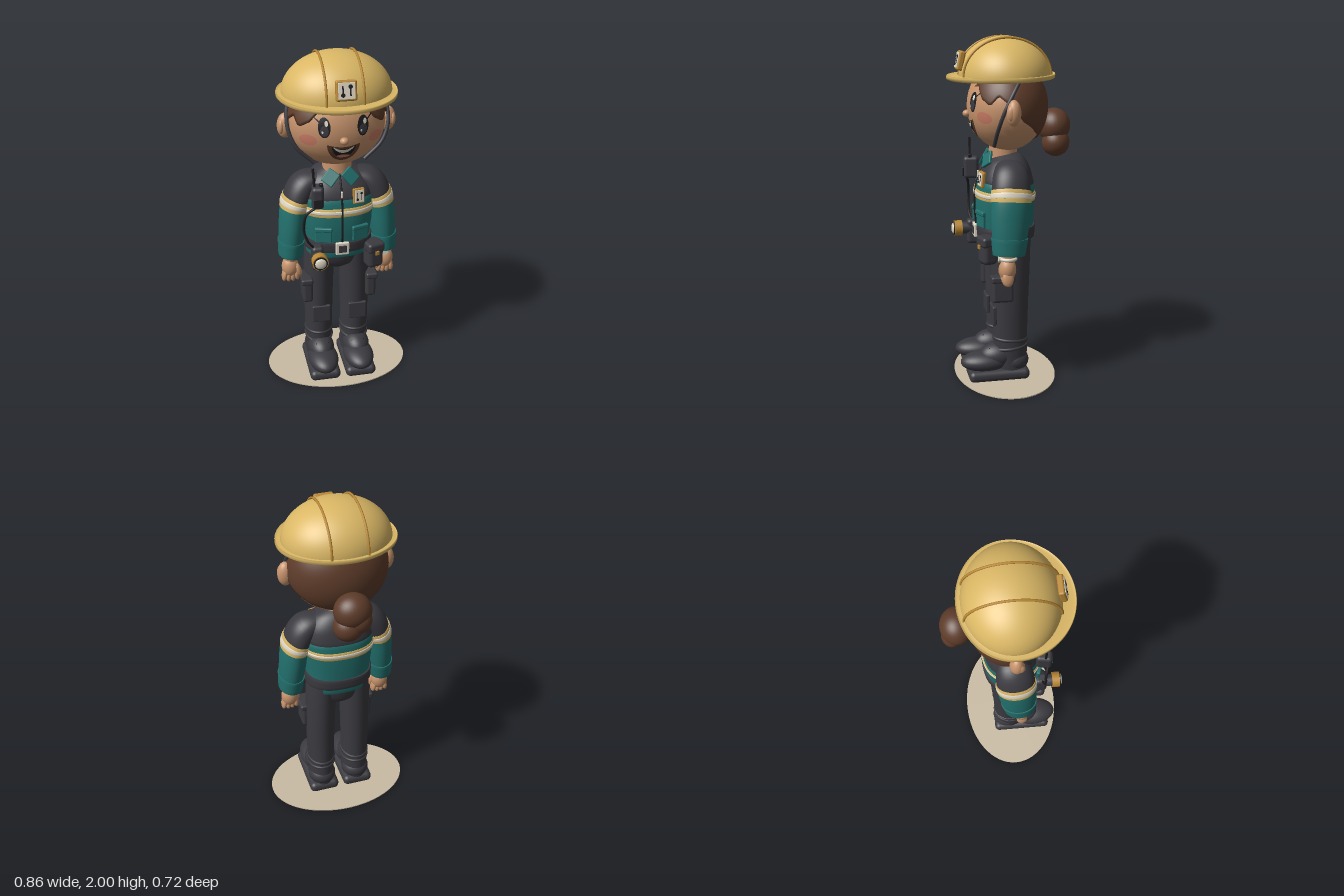
import * as THREE from 'three';
import { RoundedBoxGeometry } from 'three/addons/geometries/RoundedBoxGeometry.js';

const paint = (name, color) => {
  const m = new THREE.MeshStandardMaterial({ color });
  m.name = name;
  return m;
};

// Surface from a grid of points; closed rows wrap around
function grid(rows, cols, point, wrap = true) {
  const pos = [], idx = [], n = wrap ? cols : cols + 1;
  for (let i = 0; i <= rows; i++) for (let j = 0; j < n; j++) pos.push(...point(i / rows, j / cols, i));
  for (let i = 0; i < rows; i++) for (let j = 0; j < cols; j++) {
    const a = i * n + j, b = i * n + (j + 1) % n, c = a + n, d = b + n;
    idx.push(a, c, b, b, c, d);
  }
  const g = new THREE.BufferGeometry();
  g.setAttribute('position', new THREE.Float32BufferAttribute(pos, 3));
  g.setIndex(idx);
  g.computeVertexNormals();
  return g;
}

// Elliptical loft through rows [x, y, z, sideRadius, depthRadius], cut between two heights
function loft(rows, yTop, yBot, grow = 0, square = 1) {
  const mid = new THREE.CatmullRomCurve3(rows.map(r => new THREE.Vector3(r[0], r[1], r[2])));
  const rad = new THREE.CatmullRomCurve3(rows.map(r => new THREE.Vector3(r[3], r[4], 0)), false, 'catmullrom', 0.5);
  const at = y => {
    let lo = 0, hi = 1;
    for (let k = 0; k < 24; k++) { const m = (lo + hi) / 2; if (mid.getPoint(m).y > y) lo = m; else hi = m; }
    return lo;
  };
  const t0 = at(yTop), t1 = at(yBot), n = Math.max(3, Math.ceil((t1 - t0) * 24)), Z = new THREE.Vector3(0, 0, 1);
  const bend = v => Math.sign(v) * Math.abs(v) ** square;
  // first and last rows close the ends
  return grid(n + 4, 40, (u, v, i) => {
    const k = Math.min(Math.max(i - 2, 0), n), t = t0 + (t1 - t0) * k / n;
    const p = mid.getPoint(t), T = mid.getTangent(t), r = rad.getPoint(t), a = v * Math.PI * 2;
    const end = i === 0 || i === n + 4 ? 0.001 : i === 1 || i === n + 3 ? 0.97 : 1;
    const S = new THREE.Vector3().crossVectors(T, Z).normalize(), F = new THREE.Vector3().crossVectors(S, T);
    p.addScaledVector(S, bend(Math.cos(a)) * (r.x + grow) * end).addScaledVector(F, bend(Math.sin(a)) * (r.y + grow) * end);
    return [p.x, p.y, p.z];
  });
}

export function createModel() {
  const yellow = paint('helmet yellow', 0xdab765), gold = paint('dark gold', 0xb88735), skin = paint('skin', 0xc8946d);
  const brown = paint('hair brown', 0x5e3c2a), charcoal = paint('charcoal', 0x3b3a40), teal = paint('teal', 0x22706d);
  const cream = paint('cream', 0xe0d8c6), pink = paint('pink', 0xcc7d66), black = paint('black', 0x1d1c20), sand = paint('sand', 0xcabca4);
  const model = new THREE.Group();
  const add = (name, geo, mat, p = [0, 0, 0], r = [0, 0, 0]) => {
    const m = new THREE.Mesh(geo, mat);
    m.name = name; m.position.set(...p); m.rotation.set(...r);
    model.add(m);
    return m;
  };
  const ball = (name, mat, p, s, r) => add(name, new THREE.SphereGeometry(1, 32, 20), mat, p, r).scale.set(...s);
  const box = (name, mat, s, p, r) => add(name, new RoundedBoxGeometry(...s, 3, Math.min(...s) * 0.3), mat, p, r);
  const tube = (name, mat, pts, rad) => add(name, new THREE.TubeGeometry(
    new THREE.CatmullRomCurve3(pts.map(p => new THREE.Vector3(...p))), 40, rad, 8), mat);
  const disc = (name, mat, r, d, p) => add(name, new THREE.CylinderGeometry(r, r, d, 28), mat, p, [Math.PI / 2, 0, 0]);

  add('groundDisc', new THREE.CylinderGeometry(1, 1, 0.006, 64), sand, [0, 0.003, 0.03]).scale.set(0.43, 1, 0.3);

  // Head
  const H = { y: 1.61, z: 0.015, rx: 0.275, ry: 0.255, rz: 0.225 };
  ball('head', skin, [0, H.y, H.z], [H.rx, H.ry, H.rz]);
  const faceZ = (x, y) => H.z + H.rz * Math.sqrt(Math.max(0, 1 - (x / H.rx) ** 2 - ((y - H.y) / H.ry) ** 2));
  add('neck', new THREE.CylinderGeometry(0.08, 0.085, 0.16, 32), skin, [0, 1.34, 0.035]);
  ball('nose', skin, [0, 1.57, 0.243], [0.024, 0.021, 0.024]);

  // Thin face details that follow the head surface
  const patch = (name, mat, cx, w, top, bot, off) => {
    const g = new THREE.PlaneGeometry(2, 2, 16, 8), P = g.attributes.position;
    for (let i = 0; i < P.count; i++) {
      const u = Math.sin(P.getX(i) * Math.PI / 2), x = cx + w * u, y = THREE.MathUtils.lerp(bot(u), top(u), (P.getY(i) + 1) / 2);
      P.setXYZ(i, x, y, faceZ(x, y) + off);
    }
    g.computeVertexNormals();
    add(name, g, mat);
  };
  const arc = u => Math.sqrt(Math.max(0, 1 - u * u));
  const oval = (name, mat, x, y, w, h, off) => patch(name, mat, x, w, u => y + h * arc(u), u => y - h * arc(u), off);
  for (const s of [1, -1]) {
    oval('eye', black, s * 0.105, 1.645, 0.032, 0.056, 0.004);
    oval('iris', charcoal, s * 0.105, 1.628, 0.022, 0.03, 0.006);
    oval('eyeHighlight', cream, s * 0.105 + 0.01, 1.67, 0.01, 0.015, 0.008);
    oval('eyeGlint', cream, s * 0.105 - 0.011, 1.622, 0.005, 0.007, 0.008);
    oval('cheek', pink, s * 0.185, 1.565, 0.043, 0.033, 0.004);
    patch('eyebrow', brown, s * 0.112, 0.036, u => 1.728 + 0.016 * arc(u), u => 1.726 + 0.004 * arc(u), 0.005);
    patch('eyelash', black, s * 0.14, 0.014, u => 1.685 + s * u * 0.012 + 0.004, u => 1.68 + s * u * 0.012, 0.005);
    ball('ear', skin, [s * 0.288, 1.6, 0.03], [0.045, 0.072, 0.04]);
    ball('innerEar', skin, [s * 0.312, 1.6, 0.045], [0.018, 0.042, 0.026]);
  }
  const lip = u => 1.522 + 0.022 * u * u;
  patch('mouthOutline', brown, 0, 0.09, u => lip(u) + 0.009 * arc(u), u => lip(u) - 0.088 * arc(u), 0.003);
  patch('mouth', black, 0, 0.066, u => lip(u) - 0.006, u => lip(u) - 0.006 - 0.058 * arc(u), 0.005);
  patch('teeth', cream, 0, 0.058, u => lip(u) - 0.008, u => lip(u) - 0.008 - 0.02 * arc(u), 0.007);
  patch('tongue', pink, 0, 0.036, u => 1.472 + 0.01 * arc(u), u => 1.472 - 0.012 * arc(u), 0.007);

  // Hair cap: lower edge given as [angle from the front, height]
  const edge = [[0, 1.755], [0.5, 1.745], [0.72, 1.67], [0.95, 1.635], [1.15, 1.69], [1.5, 1.63], [1.75, 1.55], [2.3, 1.47], [3.15, 1.41]];
  const hairEdge = a => {
    const k = Math.max(1, edge.findIndex(e => e[0] >= a)), [a0, y0] = edge[k - 1], [a1, y1] = edge[k];
    return THREE.MathUtils.lerp(y0, y1, (a - a0) / (a1 - a0));
  };
  add('hair', grid(21, 96, (u, v, i) => {
    const a = v * Math.PI * 2, far = Math.min(a, Math.PI * 2 - a), k = i === 21 ? 0.97 : 1.045;
    const th = Math.acos((hairEdge(far) - H.y) / (H.ry * 1.045)) * Math.min(i / 20, 1);
    return [Math.sin(th) * Math.sin(a) * H.rx * k, H.y + Math.cos(th) * H.ry * k, H.z + Math.sin(th) * Math.cos(a) * H.rz * k];
  }), brown);
  ball('hairBun', brown, [0, 1.49, -0.265], [0.106, 0.1, 0.094]);
  ball('hairBunLower', brown, [0.025, 1.395, -0.27], [0.085, 0.082, 0.08]);
  ball('hairBunCoil', brown, [-0.03, 1.44, -0.295], [0.068, 0.075, 0.06]);

  // Helmet
  const dome = new THREE.SphereGeometry(1, 56, 20, 0, Math.PI * 2, 0, Math.PI / 2);
  add('helmetDome', dome, yellow, [0, 1.775, 0.026]).scale.set(0.305, 0.225, 0.26);
  const section = [[0, 1.79], [0.8, 1.778], [0.95, 1.79], [1, 1.783], [0.98, 1.768], [0.8, 1.762], [0, 1.77], [0, 1.79]];
  add('helmetBrim', grid(7, 80, (u, v, i) => {
    const a = v * Math.PI * 2, [k, y] = section[i], c = Math.cos(a);
    return [Math.sin(a) * (0.285 + 0.048 * k), y - 0.006 * c, 0.026 + c * (0.24 + (c > 0 ? 0.09 : 0.044) * k)];
  }), yellow);
  for (const s of [1, -1]) {
    const pts = [];
    for (let i = 0; i <= 16; i++) {
      const a = Math.PI * i / 16;
      pts.push([s * 0.1, 1.78 + 0.214 * Math.sin(a), 0.026 + 0.248 * Math.cos(a)]);
    }
    tube('helmetRib', gold, pts, 0.007);
    tube('chinStrap', charcoal, [[1.775, -0.02], [1.7, 0.03], [1.6, 0.08], [1.5, 0.108], [1.4, 0.112]].map(([y, z]) =>
      [s * (0.008 + H.rx * 1.03 * Math.sqrt(1 - ((y - H.y) / 0.27) ** 2 - ((z - H.z) / 0.235) ** 2)), y, z]), 0.011);
  }

  // Framed plate with two simple tool marks
  const plate = (name, w, h, d, p, tilt) => {
    const g = new THREE.Group(), first = model.children.length;
    box(name + 'Frame', gold, [w, h, d], [0, 0, 0]);
    box(name + 'Face', cream, [w * 0.8, h * 0.8, 0.008], [0, 0, d / 2]);
    for (const s of [1, -1]) {
      box(name + 'Mark', black, [w * 0.07, h * 0.5, 0.004], [s * w * 0.18, 0, d / 2 + 0.004]);
      disc(name + 'MarkHead', black, w * 0.1, 0.004, [s * w * 0.18, s * h * 0.2, d / 2 + 0.004]);
    }
    g.add(...model.children.slice(first));
    g.name = name; g.position.set(...p); g.rotation.set(...tilt);
    model.add(g);
  };
  plate('helmetBadge', 0.112, 0.108, 0.034, [0, 1.866, 0.278], [-0.22, 0, 0]);
  plate('chestBadge', 0.068, 0.09, 0.02, [0.097, 1.205, 0.176], [-0.12, 0.2, 0]);

  // Jacket
  const torso = [[0, 1.345, 0.03, 0.07, 0.06], [0, 1.31, 0.025, 0.14, 0.105], [0, 1.25, 0.022, 0.19, 0.14], [0, 1.16, 0.026, 0.21, 0.165],
    [0, 1.04, 0.03, 0.203, 0.17], [0, 0.92, 0.028, 0.19, 0.162], [0, 0.81, 0.027, 0.188, 0.152]];
  const wrap = (name, mat, a, b, grow) => add(name, loft(torso, a, b, grow, 0.82), mat);
  wrap('jacketYoke', charcoal, 1.345, 1.18, 0);
  wrap('jacketBody', teal, 1.18, 0.82, 0);
  wrap('chestStripe', yellow, 1.132, 1.084, 0.004);
  wrap('chestStripeCentre', cream, 1.118, 1.098, 0.007);
  wrap('belt', charcoal, 0.925, 0.86, 0.012);
  tube('zip', black, [[0, 1.32, 0.115], [0, 1.25, 0.164], [0, 1.16, 0.194], [0, 1.04, 0.204], [0, 0.92, 0.194]], 0.006);
  box('zipPull', cream, [0.012, 0.04, 0.012], [0, 1.22, 0.182]);
  box('buckle', cream, [0.078, 0.078, 0.02], [0, 0.89, 0.202]);
  box('buckleCentre', charcoal, [0.046, 0.044, 0.008], [0, 0.89, 0.212]);

  // Trousers hips
  add('hips', loft([[0, 0.9, 0.022, 0.18, 0.14], [0, 0.81, 0.02, 0.18, 0.135], [0, 0.74, 0.018, 0.13, 0.115], [0, 0.7, 0.018, 0.05, 0.07]], 0.9, 0.7), charcoal);

  for (const s of [1, -1]) {
    const at = (x, y, z) => [s * x, y, z];
    // Arms
    const arm = [[0.1, 1.285, 0.025, 0.04, 0.07], [0.19, 1.235, 0.027, 0.078, 0.102], [0.243, 1.13, 0.035, 0.08, 0.11],
      [0.265, 0.98, 0.045, 0.077, 0.107], [0.28, 0.8, 0.056, 0.064, 0.085]].map(([x, ...r]) => [s * x, ...r]);
    add('upperSleeve', loft(arm, 1.285, 1.155), charcoal);
    add('sleeve', loft(arm, 1.155, 0.81), teal);
    add('sleeveStripe', loft(arm, 1.16, 1.1, 0.004), yellow);
    add('sleeveStripeCentre', loft(arm, 1.142, 1.118, 0.007), cream);
    add('cuff', loft(arm, 0.9, 0.805, 0.007), teal);
    // Hands
    ball('wrist', skin, at(0.28, 0.79, 0.06), [0.042, 0.06, 0.04]);
    ball('palm', skin, at(0.285, 0.725, 0.064), [0.05, 0.066, 0.048]);
    ball('thumb', skin, at(0.24, 0.71, 0.088), [0.018, 0.045, 0.02], [0, 0, s * -0.25]);
    for (let i = 0; i < 4; i++) ball('finger', skin, at(0.25 + i * 0.023, 0.668 + Math.abs(i - 1.5) * 0.006, 0.068), [0.017, 0.046, 0.032], [0, 0, s * (i - 1.5) * 0.1]);
    // Collar and chest pockets
    box('collar', teal, [0.075, 0.085, 0.018], at(0.056, 1.312, 0.137), [-0.5, s * 0.25, s * 0.72]);
    box('chestPocket', teal, [0.095, 0.09, 0.018], at(0.106, 0.975, 0.184), [0, s * 0.28, 0]);
    box('chestPocketFlap', teal, [0.1, 0.026, 0.024], at(0.106, 1.012, 0.187), [0, s * 0.28, 0]);
    // Legs
    const leg = [[0.1, 0.87, 0.018, 0.088, 0.125], [0.106, 0.7, 0.015, 0.089, 0.116], [0.11, 0.45, 0.015, 0.085, 0.106],
      [0.11, 0.25, 0.015, 0.082, 0.101], [0.11, 0.05, 0.01, 0.078, 0.095]].map(([x, ...r]) => [s * x, ...r]);
    add('trouserLeg', loft(leg, 0.87, 0.06), charcoal);
    for (const [y, tilt] of [[0.2, 0.1], [0.25, -0.08]])
      add('trouserFold', new THREE.TorusGeometry(1, 0.1, 10, 36), charcoal, at(0.11, y, 0.015), [Math.PI / 2 + tilt, 0, 0]).scale.set(0.08, 0.098, 0.1);
    box('kneePad', charcoal, [0.11, 0.112, 0.024], at(0.11, 0.402, 0.116));
    box('cargoPocket', charcoal, [0.06, 0.15, 0.125], at(0.19, 0.575, 0.075));
    box('cargoFlap', charcoal, [0.07, 0.038, 0.138], at(0.195, 0.64, 0.075));
    // Boots
    box('bootSole', charcoal, [0.185, 0.066, 0.36], at(0.11, 0.039, 0.09)).geometry = new RoundedBoxGeometry(0.185, 0.066, 0.36, 5, 0.03);
    ball('bootToe', charcoal, at(0.11, 0.112, 0.165), [0.091, 0.06, 0.147]);
    ball('bootVamp', charcoal, at(0.11, 0.145, 0.09), [0.08, 0.075, 0.11]);
    ball('bootHeel', charcoal, at(0.11, 0.11, -0.01), [0.085, 0.07, 0.085]);
    for (const y of [0.168, 0.195]) box('bootLace', black, [0.08, 0.012, 0.02], at(0.11, y, 0.305 - y * 0.85));
  }

  // Wristwatch
  add('watchStrap', new THREE.TorusGeometry(0.042, 0.01, 10, 28), cream, [0.28, 0.785, 0.06], [Math.PI / 2, 0, 0]);
  disc('watchDial', cream, 0.02, 0.012, [0.275, 0.785, 0.108]);

  // Radio with aerial and cable
  box('radio', charcoal, [0.068, 0.13, 0.09], [-0.14, 1.235, 0.2], [0, -0.15, 0]);
  box('radioSpeaker', black, [0.046, 0.05, 0.008], [-0.146, 1.21, 0.246], [0, -0.15, 0]);
  box('radioKnob', black, [0.02, 0.025, 0.02], [-0.122, 1.305, 0.21]);
  tube('radioAerial', black, [[-0.158, 1.28, 0.205], [-0.163, 1.35, 0.205], [-0.167, 1.41, 0.205]], 0.007);
  tube('radioCable', black, [[-0.15, 1.18, 0.225], [-0.205, 1.13, 0.21], [-0.222, 1.04, 0.205], [-0.2, 0.96, 0.21], [-0.165, 0.91, 0.2]], 0.007);

  // Belt torch and pouch
  box('torchHolder', charcoal, [0.068, 0.15, 0.07], [-0.145, 0.845, 0.195]);
  disc('torchBody', charcoal, 0.036, 0.09, [-0.145, 0.865, 0.235]);
  disc('torchHead', gold, 0.046, 0.045, [-0.145, 0.865, 0.282]);
  disc('torchRim', black, 0.04, 0.01, [-0.145, 0.865, 0.305]);
  ball('torchLens', cream, [-0.145, 0.865, 0.308], [0.033, 0.033, 0.014]);
  box('pouch', charcoal, [0.1, 0.15, 0.09], [0.192, 0.81, 0.16], [0, 0.3, 0]);
  box('pouchFlap', charcoal, [0.108, 0.06, 0.1], [0.192, 0.868, 0.162], [0, 0.3, 0]);
  box('pouchClasp', gold, [0.024, 0.026, 0.01], [0.205, 0.84, 0.212], [0, 0.3, 0]);

  return model;
}
